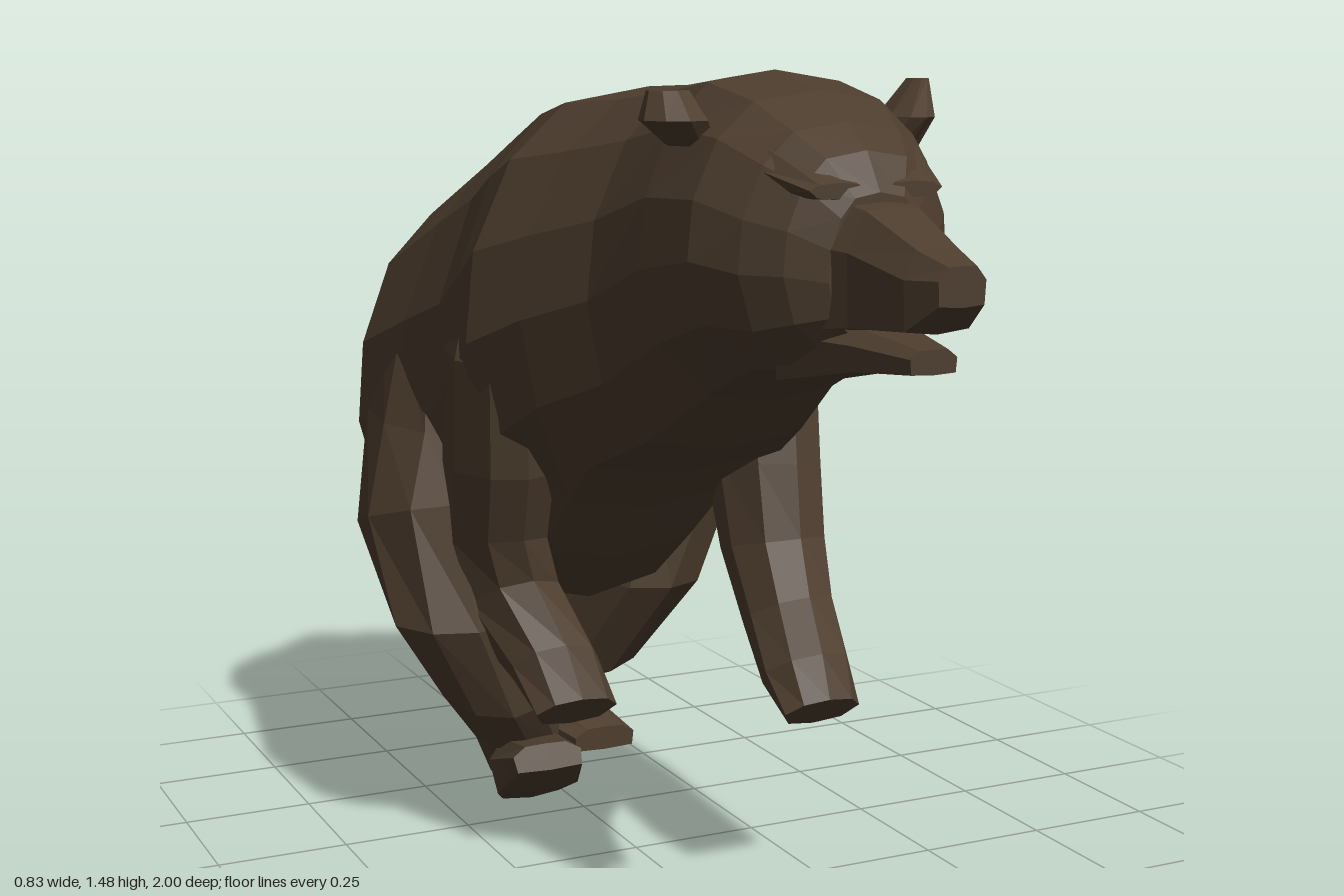
import * as THREE from 'three';

const fur = new THREE.MeshStandardMaterial({ color: 0x4d3d2e, flatShading: true });
fur.name = 'brown fur';

// Outlines of a cross-section: half profiles from top to bottom, mirrored into a loop
const mirrorLoop = half => [...half, ...half.slice(1, -1).reverse().map(([u, v]) => [-u, v])];
const TRUNK = mirrorLoop([[0, 1], [0.42, 0.93], [0.73, 0.68], [0.95, 0.27], [1, -0.15], [0.86, -0.6], [0.45, -0.93], [0, -1]]);
const LIMB = mirrorLoop([[0, 1], [0.65, 0.8], [1, 0.15], [0.72, -0.75], [0, -1]]);
const BLOCK = mirrorLoop([[0, 1], [0.6, 0.95], [1, 0.3], [0.95, -0.9], [0, -1]]);

// Skin through rings [x, y, z, halfWidth, halfDepth, angle, fullTop, fullBottom].
// The depth axis is +z at angle 0 and +y at angle 90; fullness squares off a half.
function loft(name, profile, rings) {
  const n = profile.length, pos = [], idx = [];
  for (const [x, y, z, w, d, angle = 0, top = 0, bottom = 0] of rings) {
    const a = THREE.MathUtils.degToRad(angle);
    for (const [u, v] of profile) {
      const wide = Math.sign(u) * Math.abs(u) ** (1 - (v > 0 ? top : bottom));
      pos.push(x + wide * w, y + v * d * Math.sin(a), z + v * d * Math.cos(a));
    }
  }
  for (let r = 0; r < rings.length - 1; r++) {
    for (let i = 0; i < n; i++) {
      const j = (i + 1) % n, a = r * n + i, b = r * n + j;
      idx.push(a, b, b + n, a, b + n, a + n);
    }
  }
  // end caps
  for (const r of [0, rings.length - 1]) {
    const c = pos.length / 3;
    pos.push(...rings[r].slice(0, 3));
    for (let i = 0; i < n; i++) {
      const a = r * n + i, b = r * n + (i + 1) % n;
      if (r === 0) idx.push(c, b, a); else idx.push(c, a, b);
    }
  }
  // turn the faces outwards when the signed volume is negative
  const p = i => new THREE.Vector3().fromArray(pos, idx[i] * 3);
  let volume = 0;
  for (let i = 0; i < idx.length; i += 3) volume += p(i).dot(p(i + 1).cross(p(i + 2)));
  if (volume < 0) idx.reverse();

  const geo = new THREE.BufferGeometry();
  geo.setAttribute('position', new THREE.Float32BufferAttribute(pos, 3));
  geo.setIndex(idx);
  geo.computeVertexNormals();
  const mesh = new THREE.Mesh(geo, fur);
  mesh.name = name;
  return mesh;
}

// Rings standing upright along z: [z, x, top, bottom, halfWidth, fullTop, fullBottom]
const upright = rows => rows.map(([z, x, top, bottom, w, ...full]) =>
  [x, (top + bottom) / 2, z, w, (top - bottom) / 2, 90, ...full]);

export function createModel() {
  const bear = new THREE.Group();
  bear.name = 'bear';

  // Trunk, neck and skull in one skin
  bear.add(loft('body', TRUNK, upright([
    [-0.95, 0, 0.9, 0.74, 0.08], [-0.9, 0.01, 0.97, 0.64, 0.15, 0.1, 0.1], [-0.77, 0.08, 1.09, 0.51, 0.29, 0.25, 0.15],
    [-0.62, 0.025, 1.2, 0.43, 0.36, 0.3, 0.05], [-0.42, 0.03, 1.315, 0.41, 0.35, 0.05], [-0.24, 0.01, 1.38, 0.44, 0.32, 0.05],
    [-0.1, 0.01, 1.42, 0.55, 0.335, 0.1], [0.02, 0.015, 1.44, 0.67, 0.355, 0.1], [0.15, 0.03, 1.445, 0.76, 0.32, 0, 0.35],
    [0.3, 0.03, 1.46, 0.83, 0.26, 0, 0.3], [0.46, 0.03, 1.475, 0.935, 0.24, 0.2, 0.1], [0.6, 0.03, 1.445, 1, 0.225, 0.2, 0.1],
    [0.69, 0.03, 1.4, 1.01, 0.185, 0.2], [0.75, 0.03, 1.36, 1.04, 0.14, 0.2], [0.79, 0.03, 1.3, 1.07, 0.085, 0.2],
  ])));

  // Muzzle, open lower jaw and brows
  bear.add(loft('muzzle', BLOCK, upright([
    [0.72, 0.035, 1.3, 1.08, 0.11], [0.82, 0.035, 1.28, 1.095, 0.078],
    [0.94, 0.038, 1.23, 1.105, 0.058], [1, 0.04, 1.21, 1.15, 0.04],
  ])));
  bear.add(loft('lowerJaw', BLOCK, upright([
    [0.66, 0.035, 1.12, 1, 0.11], [0.82, 0.035, 1.1, 1.035, 0.068], [0.935, 0.038, 1.083, 1.045, 0.04],
  ])));
  for (const s of [-1, 1]) {
    bear.add(loft(s < 0 ? 'rightBrow' : 'leftBrow', LIMB, upright([
      [0.68, 0.03 + s * 0.09, 1.37, 1.28, 0.06], [0.78, 0.03 + s * 0.065, 1.315, 1.29, 0.05],
    ])));
  }

  // Ears and tail
  bear.add(loft('rightEar', LIMB, [
    [-0.14, 1.36, 0.5, 0.04, 0.04], [-0.18, 1.4, 0.52, 0.055, 0.06], [-0.18, 1.445, 0.5, 0.035, 0.035],
  ]));
  bear.add(loft('leftEar', LIMB, [
    [0.22, 1.33, 0.5, 0.04, 0.035], [0.24, 1.4, 0.52, 0.035, 0.065], [0.28, 1.46, 0.49, 0.01, 0.03],
  ]));
  bear.add(loft('tail', LIMB, [
    [0, 0.94, -0.915, 0.06, 0.03], [0, 0.85, -0.955, 0.08, 0.035], [0, 0.75, -0.975, 0.05, 0.02],
  ]));

  // Front legs: left reaching forward, right drawn back
  bear.add(loft('leftFrontLeg', LIMB, [
    [0.25, 1.1, -0.1, 0.05, 0.06], [0.265, 0.97, -0.03, 0.1, 0.14], [0.245, 0.76, 0.03, 0.1, 0.14],
    [0.235, 0.6, 0.1, 0.095, 0.11, 15], [0.22, 0.49, 0.19, 0.085, 0.09, 30],
    [0.2, 0.41, 0.29, 0.085, 0.075, 35], [0.195, 0.35, 0.36, 0.075, 0.042, 45],
  ]));
  bear.add(loft('rightFrontLeg', LIMB, [
    [-0.24, 1.1, -0.1, 0.05, 0.06], [-0.25, 0.96, -0.06, 0.09, 0.14], [-0.235, 0.75, -0.1, 0.095, 0.15],
    [-0.225, 0.6, -0.15, 0.09, 0.15, 10], [-0.2, 0.48, -0.13, 0.09, 0.13, 30],
    [-0.165, 0.385, -0.01, 0.085, 0.078, 40], [-0.15, 0.31, 0.06, 0.08, 0.045, 45],
  ]));

  // Hind legs and turned-out feet: left planted behind, right stepping forward
  bear.add(loft('leftHindLeg', LIMB, [
    [0.26, 0.97, -0.56, 0.08, 0.18], [0.285, 0.78, -0.56, 0.12, 0.26], [0.285, 0.6, -0.53, 0.13, 0.245],
    [0.22, 0.42, -0.48, 0.12, 0.18], [0.15, 0.28, -0.6, 0.105, 0.165, -25],
    [0.09, 0.16, -0.71, 0.085, 0.1, -10], [0.08, 0.06, -0.72, 0.075, 0.08],
  ]));
  bear.add(loft('leftHindFoot', BLOCK, upright([
    [-0.8, 0.065, 0.14, 0.03, 0.065], [-0.64, 0.105, 0.135, 0.03, 0.09], [-0.48, 0.15, 0.08, 0.03, 0.068],
  ])));
  bear.add(loft('rightHindLeg', LIMB, [
    [-0.24, 0.95, -0.48, 0.06, 0.16], [-0.255, 0.79, -0.43, 0.1, 0.21], [-0.3, 0.62, -0.34, 0.12, 0.2, 15],
    [-0.285, 0.44, -0.21, 0.125, 0.13], [-0.195, 0.28, -0.26, 0.105, 0.13, -15],
    [-0.115, 0.16, -0.33, 0.09, 0.095, -15], [-0.09, 0.07, -0.35, 0.075, 0.07, 10],
  ]));
  bear.add(loft('rightHindFoot', BLOCK, [
    [-0.075, 0.055, -0.375, 0.065, 0.063, 119], [-0.11, 0.11, -0.25, 0.09, 0.058, 119], [-0.14, 0.172, -0.1, 0.07, 0.026, 119],
  ]));

  return bear;
}
